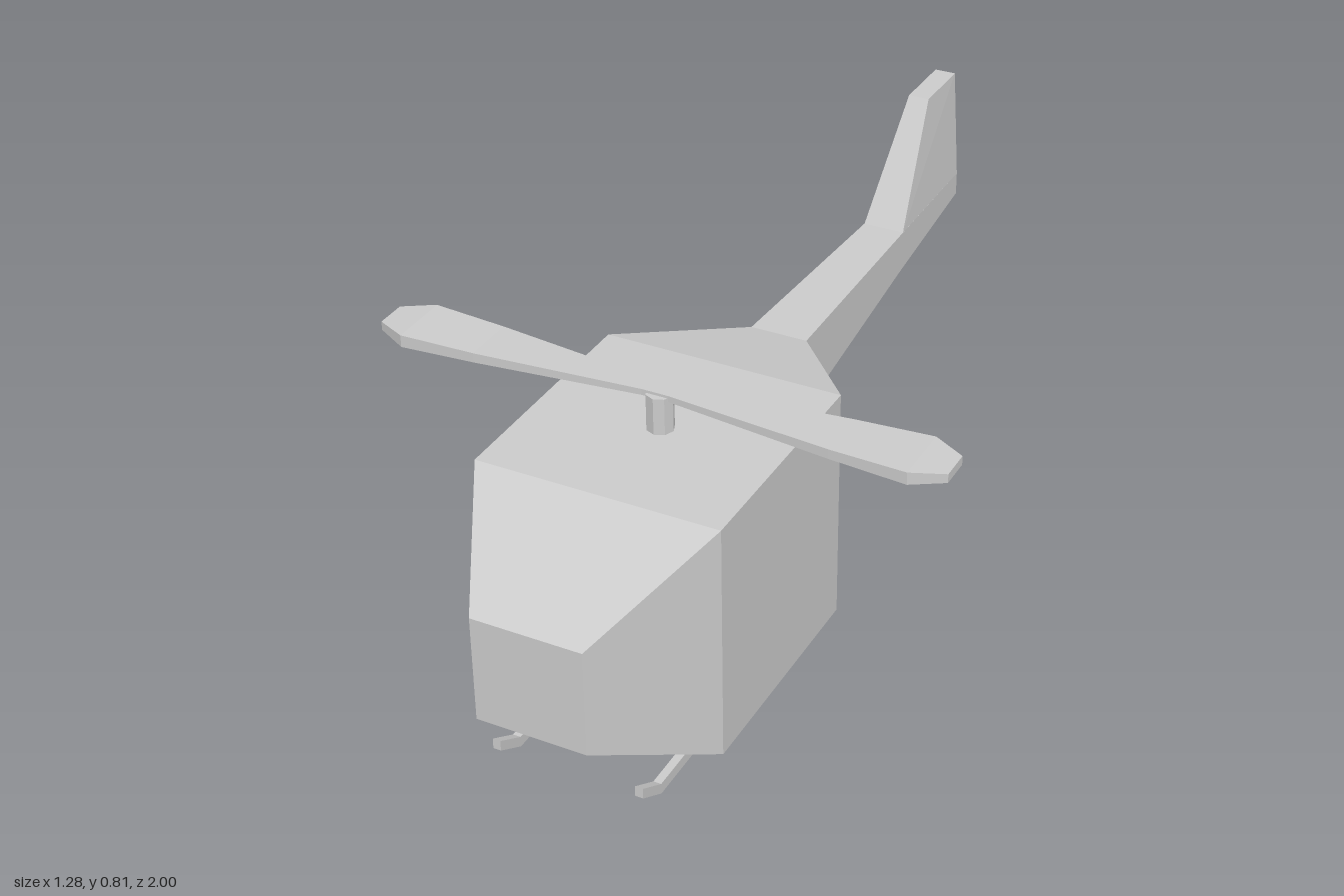
import * as THREE from 'three';

const material = new THREE.MeshStandardMaterial({ color: 0xcccccc, flatShading: true });

// Skin between four-cornered rings, each wound counter-clockwise seen from the far end
function loft(name, rings) {
  const pos = [];
  const quad = (a, b, c, d) => pos.push(...a, ...b, ...c, ...a, ...c, ...d);
  for (let r = 0; r < rings.length - 1; r++) {
    const a = rings[r], b = rings[r + 1];
    for (let i = 0; i < 4; i++) {
      const j = (i + 1) % 4;
      quad(a[i], a[j], b[j], b[i]);
    }
  }
  const first = rings[0], last = rings[rings.length - 1];
  quad(first[3], first[2], first[1], first[0]);
  quad(...last);
  const geo = new THREE.BufferGeometry();
  geo.setAttribute('position', new THREE.Float32BufferAttribute(pos, 3));
  geo.computeVertexNormals();
  const mesh = new THREE.Mesh(geo, material);
  mesh.name = name;
  return mesh;
}

// Rectangular rings facing along z, x and y
const ringZ = (z, x0, x1, y0, y1) => [[x0, y0, z], [x1, y0, z], [x1, y1, z], [x0, y1, z]];
const ringX = (x, y0, y1, z0, z1) => [[x, y0, z0], [x, y1, z0], [x, y1, z1], [x, y0, z1]];
const ringY = (y, zBack, zFront, wBack, wFront, x = 0) => [
  [x - wBack, y, zBack], [x - wFront, y, zFront], [x + wFront, y, zFront], [x + wBack, y, zBack],
];

export function createModel() {
  const model = new THREE.Group();
  model.name = 'helicopter';
  const cx = 0.004;

  // Cabin and tail boom: z, half width, bottom, top
  const sections = [
    [-1, 0.042, 0.49, 0.545],
    [-0.65, 0.05, 0.452, 0.55],
    [-0.09, 0.067, 0.385, 0.56],
    [0.18, 0.274, 0.08, 0.63],
    [0.72, 0.274, 0.08, 0.63],
    [1, 0.124, 0.232, 0.478],
  ];
  model.add(loft('fuselage', sections.map(([z, w, y0, y1]) => ringZ(z, cx - w, cx + w, y0, y1))));

  // Tail fin rising from the end of the boom
  model.add(loft('tailFin', [
    ringY(0.545, -1, -0.65, 0.042, 0.05, cx),
    ringY(0.81, -1, -0.84, 0.025, 0.025, cx),
  ]));

  // Rotor mast
  const mast = new THREE.Mesh(new THREE.CylinderGeometry(0.03, 0.03, 0.1, 8), material);
  mast.name = 'rotorMast';
  mast.position.set(cx, 0.664, 0.453);
  model.add(mast);

  // Two-bladed rotor: x, half thickness, half chord
  const half = [[0.03, 0.007, 0.022], [0.4, 0.011, 0.06], [0.57, 0.014, 0.07], [0.64, 0.01, 0.035]];
  const stations = [...half.map(([x, t, c]) => [-x, t, c]).reverse(), ...half];
  model.add(loft('rotorBlades', stations.map(([x, t, c]) =>
    ringX(x, 0.713 - t, 0.713 + t, 0.445 - c, 0.445 + c))));

  // Landing skids with upturned toes and single struts
  for (const [side, s] of [['left', 1], ['right', -1]]) {
    const x = cx + s * 0.165;
    const skid = new THREE.Group();
    skid.name = side + 'LandingGear';
    skid.add(loft('skid', [
      ringZ(0.15, x - 0.009, x + 0.009, 0, 0.025),
      ringZ(0.8, x - 0.009, x + 0.009, 0, 0.025),
      ringZ(0.875, x - 0.009, x + 0.009, 0.045, 0.07),
    ]));
    skid.add(loft('strut', [
      ringY(0.015, 0.475, 0.511, 0.008, 0.008, x),
      ringY(0.09, 0.475, 0.489, 0.005, 0.005, x),
    ]));
    model.add(skid);
  }
  return model;
}
